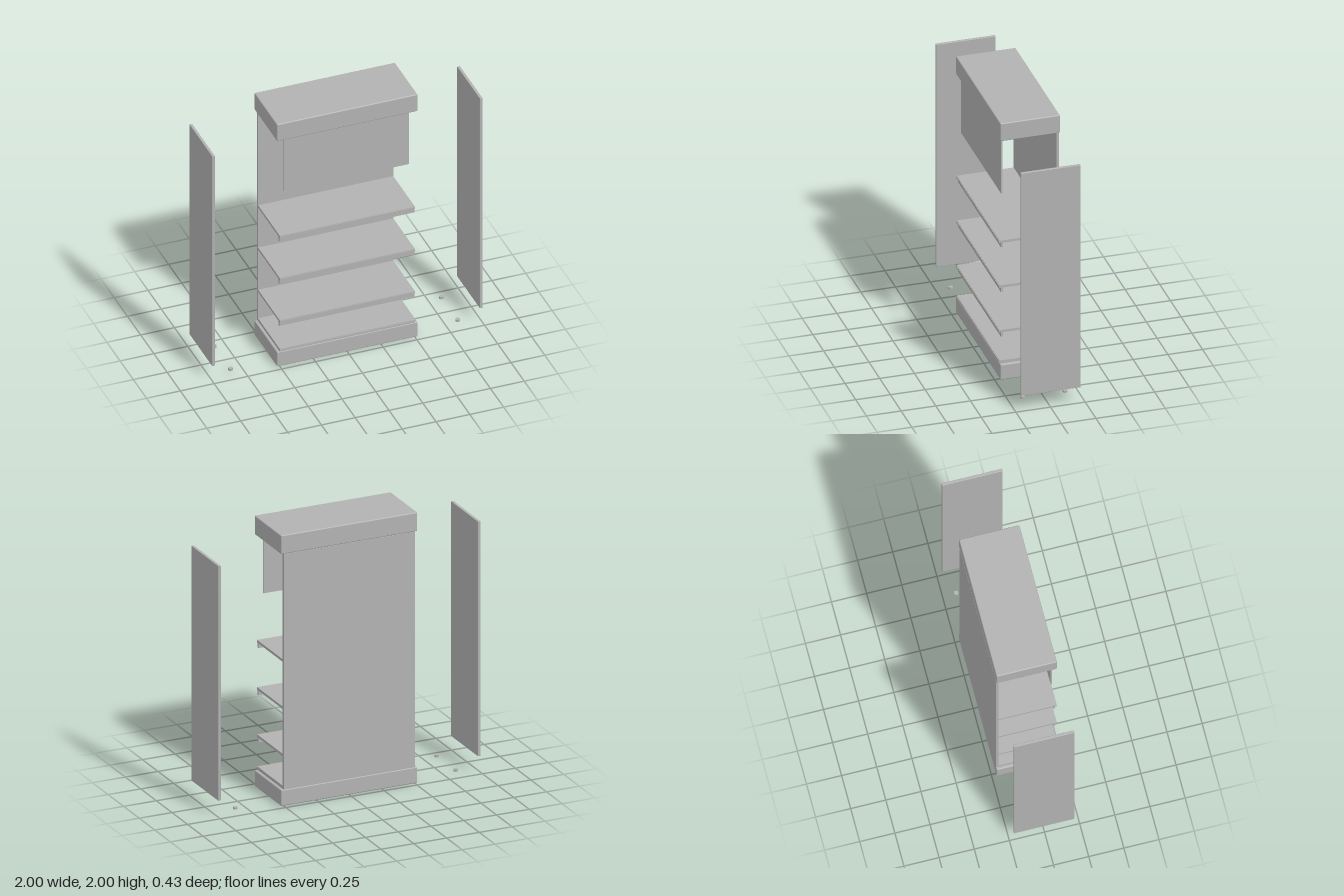
import * as THREE from 'three';
import { RoundedBoxGeometry } from 'three/addons/geometries/RoundedBoxGeometry.js';

export function createModel() {
  const model = new THREE.Group();
  model.name = 'displayShelf';
  const grey = new THREE.MeshStandardMaterial({ color: 0xb2b2b2 });
  grey.name = 'grey';

  const BACK = -0.217, FRONT = 0.213, MID = (BACK + FRONT) / 2;

  // Box given by its lower and upper limits; a radius rounds its edges
  function block(name, [x0, x1], [y0, y1], [z0, z1], radius = 0, parent = model) {
    const size = [x1 - x0, y1 - y0, z1 - z0];
    const geometry = radius
      ? new RoundedBoxGeometry(...size, 2, radius)
      : new THREE.BoxGeometry(...size);
    const mesh = new THREE.Mesh(geometry, grey);
    mesh.name = name;
    mesh.position.set((x0 + x1) / 2, (y0 + y1) / 2, (z0 + z1) / 2);
    parent.add(mesh);
    return mesh;
  }

  // Plinth, top box and back wall
  block('base', [-0.52, 0.52], [0, 0.12], [BACK, FRONT], 0.008);
  block('topBox', [-0.52, 0.52], [1.86, 2], [BACK, FRONT], 0.008);
  block('backPanel', [-0.5, 0.5], [0.12, 1.86], [BACK, BACK + 0.02]);

  // Sign board hanging from the top box
  block('headerPanel', [-0.465, 0.465], [1.425, 1.86], [0.182, 0.192]);

  // Shelves with a slim front strip; the raised ones have a lip underneath
  [0.143, 0.379, 0.728, 1.077].forEach((top, i) => {
    const shelf = new THREE.Group();
    shelf.name = 'shelf' + (i + 1);
    model.add(shelf);
    const under = i === 0 ? 0.12 : top - 0.019;
    block('shelfBoard', [-0.5, 0.5], [under, top], [BACK + 0.02, FRONT], 0, shelf);
    block('frontStrip', [-0.5, 0.5], [top - 0.016, top - 0.004], [FRONT, FRONT + 0.004], 0, shelf);
    if (i > 0) block('shelfLip', [-0.5, 0.5], [top - 0.053, under], [0.19, 0.203], 0, shelf);
  });

  // Detached side panels and feet
  const footGeometry = new THREE.CylinderGeometry(0.016, 0.016, 0.016, 24);
  for (const side of [-1, 1]) {
    const word = side > 0 ? 'left' : 'right';
    const panel = block(word + 'SidePanel', [-0.01, 0.01], [0.12, 1.855], [BACK, FRONT], 0.003);
    panel.position.x = side * 0.99;
    for (const end of [-1, 1]) {
      const foot = new THREE.Mesh(footGeometry, grey);
      foot.name = word + (end > 0 ? 'FrontFoot' : 'BackFoot');
      foot.position.set(side * 0.84, 0.022, MID + end * 0.152);
      model.add(foot);
    }
  }

  return model;
}
